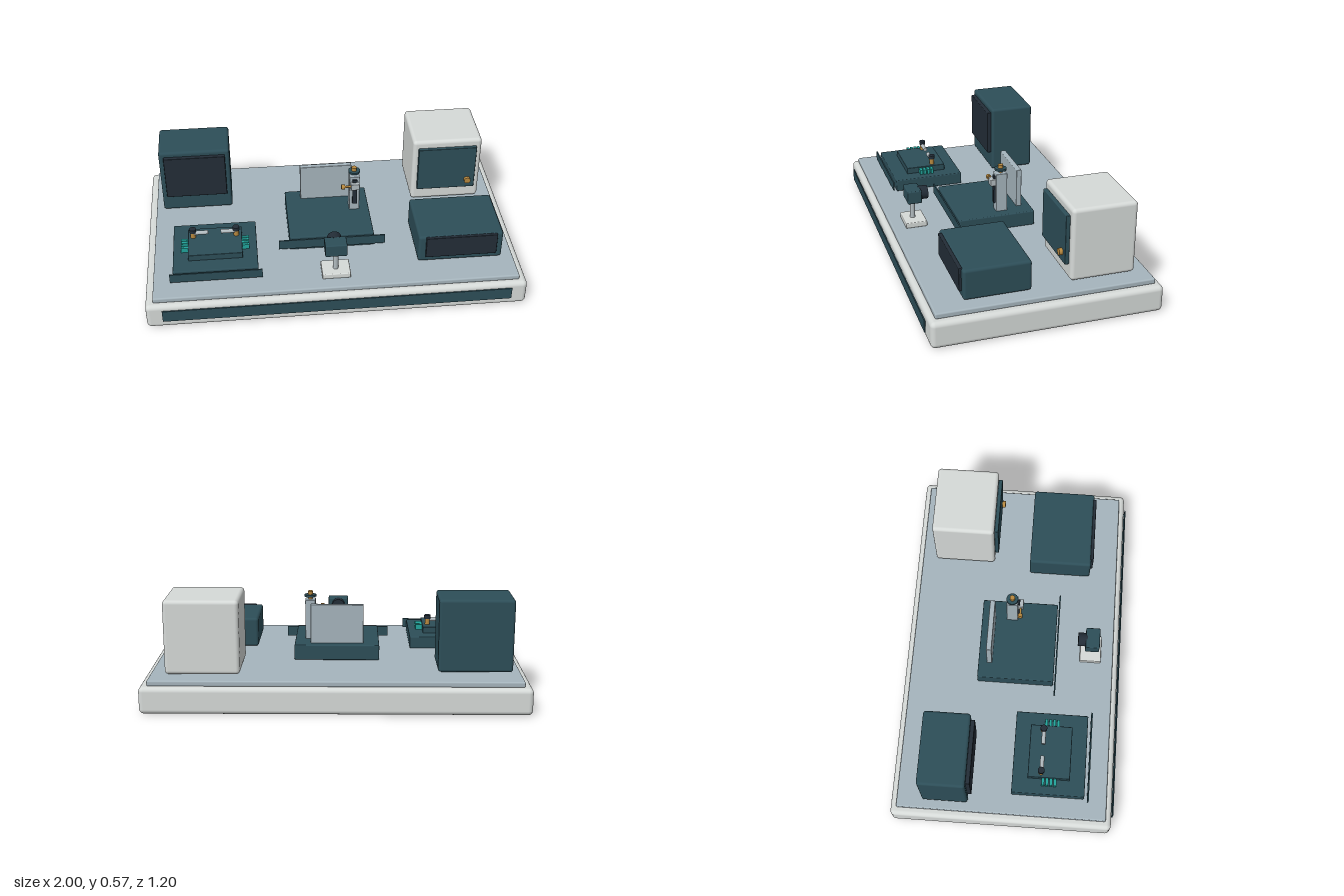
import * as THREE from 'three';
import { RoundedBoxGeometry } from 'three/addons/geometries/RoundedBoxGeometry.js';

export function createModel() {
  const model = new THREE.Group();
  model.name = 'laboratoryBench';

  const material = (name, color) => {
    const m = new THREE.MeshStandardMaterial({ color });
    m.name = name;
    return m;
  };
  const cream = material('warm white casing', 0xd6dad8);
  const slate = material('slate worktop', 0xa6b5bd);
  const teal = material('dark teal', 0x2d4e58);
  const dark = material('dark glass', 0x232d37);
  const brass = material('brass', 0xb8893f);
  const accent = material('turquoise', 0x22a59c);
  const steel = material('pale steel', 0xb3bcc0);

  const add = (name, geometry, mat, x, y, z) => {
    const mesh = new THREE.Mesh(geometry, mat);
    mesh.name = name;
    mesh.position.set(x, y, z);
    model.add(mesh);
    return mesh;
  };

  // Box given by its limits on each axis, with an optional edge radius
  const box = (name, mat, [x0, x1], [y0, y1], [z0, z1], r = 0) => {
    const size = [x1 - x0, y1 - y0, z1 - z0];
    const geometry = r ? new RoundedBoxGeometry(...size, 3, r) : new THREE.BoxGeometry(...size);
    return add(name, geometry, mat, (x0 + x1) / 2, (y0 + y1) / 2, (z0 + z1) / 2);
  };

  // Cylinder centred on a point, lying along the chosen axis
  const rod = (name, mat, r, length, x, y, z, axis = 'y') => {
    const geometry = new THREE.CylinderGeometry(r, r, length, 24);
    if (axis === 'x') geometry.rotateZ(Math.PI / 2);
    if (axis === 'z') geometry.rotateX(Math.PI / 2);
    return add(name, geometry, mat, x, y, z);
  };

  // Bench
  box('benchBase', cream, [-1, 1], [0, 0.142], [-0.6, 0.588], 0.025);
  box('worktop', slate, [-0.96, 0.96], [0.14, 0.17], [-0.568, 0.557], 0.008);
  box('benchFrontStrip', teal, [-0.915, 0.915], [0.05, 0.118], [0.594, 0.6]);

  // Tall monitor at the back
  box('monitorCase', teal, [-0.916, -0.528], [0.178, 0.562], [-0.432, -0.185], 0.015);
  box('monitorScreen', dark, [-0.89, -0.554], [0.28, 0.535], [-0.188, -0.163], 0.004);

  // Pale instrument cabinet
  box('cabinetCase', cream, [0.492, 0.879], [0.178, 0.567], [-0.49, -0.149], 0.02);
  box('cabinetPanel', teal, [0.521, 0.848], [0.26, 0.526], [-0.15, -0.127], 0.004);
  rod('cabinetKnob', brass, 0.018, 0.018, 0.805, 0.314, -0.118, 'z');

  // Low instrument at the front
  box('lowInstrumentCase', teal, [0.442, 0.894], [0.175, 0.338], [0.056, 0.401], 0.015);
  box('lowInstrumentScreen', dark, [0.48, 0.861], [0.211, 0.336], [0.395, 0.414], 0.004);

  // Probe station
  box('probeDeck', teal, [-0.853, -0.407], [0.17, 0.237], [0.043, 0.433], 0.006);
  box('probeDeckFrontRail', teal, [-0.87, -0.387], [0.187, 0.238], [0.45, 0.457]);
  box('probePlate', teal, [-0.772, -0.485], [0.235, 0.272], [0.125, 0.35], 0.004);
  const centre = -0.629;
  for (const side of [-1, 1]) {
    for (let i = 0; i < 4; i++) {
      add('probeButton', new THREE.BoxGeometry(0.042, 0.028, 0.015), accent,
        centre + side * 0.16, 0.252, 0.208 + i * 0.0215);
    }
    rod('probePost', brass, 0.014, 0.04, centre + side * 0.115, 0.288, 0.195);
    rod('probeCap', dark, 0.018, 0.02, centre + side * 0.115, 0.316, 0.195);
    rod('probeArm', steel, 0.011, 0.075, centre + side * 0.071, 0.301, 0.197, 'x');
  }

  // Central stage with upright plate
  box('stageBase', teal, [-0.23, 0.227], [0.17, 0.253], [-0.19, 0.23], 0.006);
  box('stageFrontRail', teal, [-0.289, 0.286], [0.19, 0.245], [0.237, 0.244]);
  box('stageUprightPlate', slate, [-0.145, 0.141], [0.25, 0.465], [-0.143, -0.114], 0.004);

  // Focus column
  box('focusColumn', slate, [0.117, 0.173], [0.25, 0.47], [-0.052, 0.01], 0.004);
  box('focusSlide', dark, [0.133, 0.158], [0.298, 0.455], [0.008, 0.02]);
  box('focusCarriage', steel, [0.122, 0.17], [0.402, 0.44], [0.01, 0.04], 0.004);
  rod('focusSideShaft', brass, 0.006, 0.045, 0.105, 0.42, 0.025, 'x');
  rod('focusSideKnob', brass, 0.013, 0.02, 0.08, 0.42, 0.025, 'x');
  rod('focusTopShaft', brass, 0.01, 0.02, 0.145, 0.478, -0.022);
  rod('focusDial', teal, 0.032, 0.011, 0.145, 0.49, -0.022);
  rod('focusTopKnob', brass, 0.014, 0.02, 0.145, 0.505, -0.022);

  // Camera facing the stage
  box('cameraFoot', cream, [-0.077, 0.073], [0.17, 0.2], [0.37, 0.488], 0.005);
  rod('cameraPost', steel, 0.014, 0.12, -0.003, 0.255, 0.434);
  box('cameraBody', teal, [-0.06, 0.055], [0.302, 0.375], [0.392, 0.469], 0.006);
  rod('cameraLens', dark, 0.037, 0.05, -0.003, 0.34, 0.376, 'z');

  return model;
}
